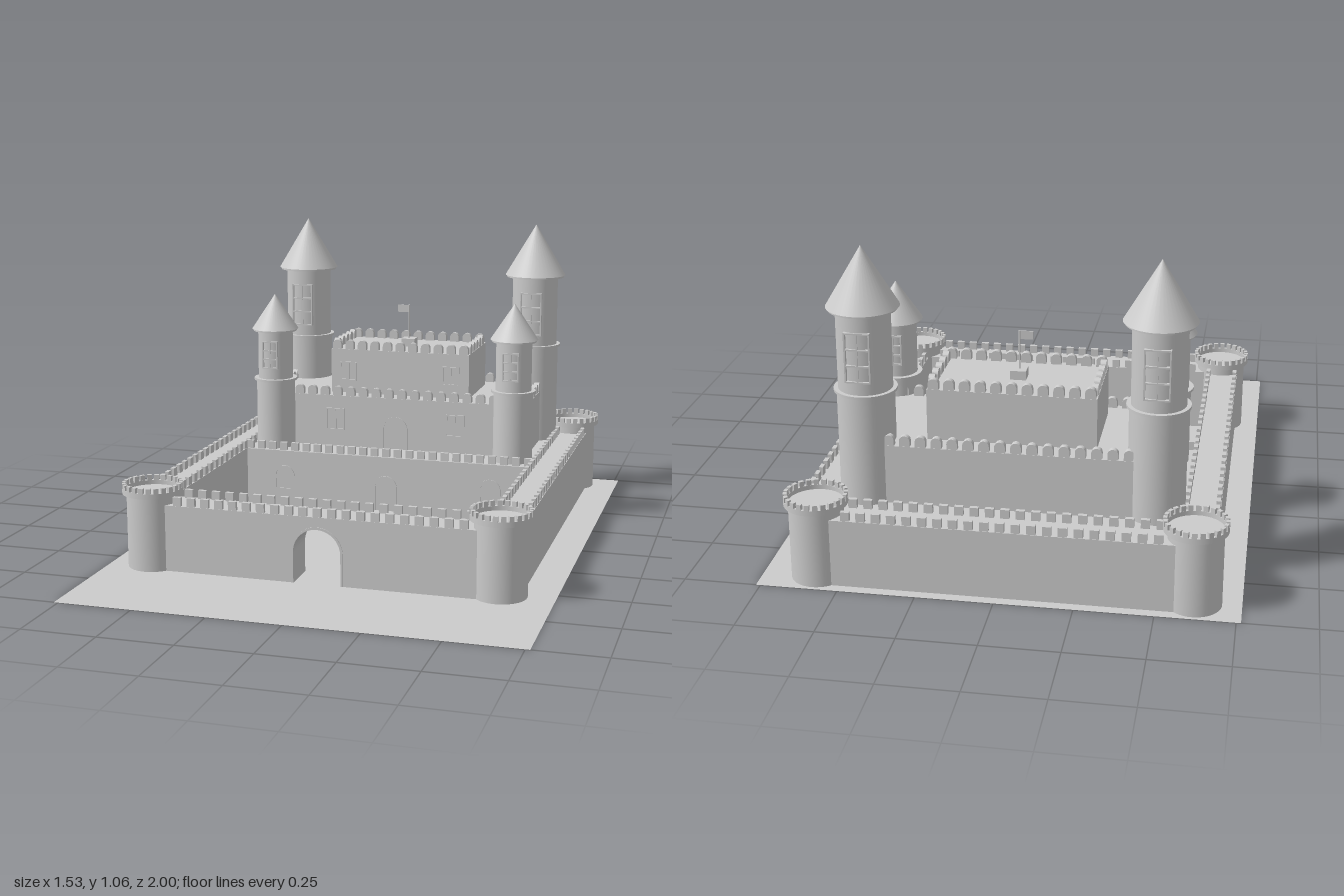
import * as THREE from 'three';
import { mergeGeometries } from 'three/addons/utils/BufferGeometryUtils.js';

const grey = new THREE.MeshStandardMaterial({ color: 0xcccccc, side: THREE.DoubleSide });

function add(parent, name, geometry, x = 0, y = 0, z = 0) {
  const mesh = new THREE.Mesh(geometry, grey);
  mesh.name = name;
  mesh.position.set(x, y, z);
  parent.add(mesh);
  return mesh;
}

// Box given by its limits on each axis
function block(parent, name, x0, x1, y0, y1, z0, z1) {
  return add(parent, name, new THREE.BoxGeometry(x1 - x0, y1 - y0, z1 - z0),
    (x0 + x1) / 2, (y0 + y1) / 2, (z0 + z1) / 2);
}

// Outline with a round top, standing on y = 0
function archPath(path, r, spring) {
  path.moveTo(-r, 0);
  path.lineTo(r, 0);
  path.lineTo(r, spring);
  path.absarc(0, spring, r, 0, Math.PI, false);
  path.lineTo(-r, 0);
  return path;
}

const extrude = (shape, depth, curveSegments = 12) =>
  new THREE.ExtrudeGeometry(shape, { depth, bevelEnabled: false, curveSegments });

// Merlons standing on y = 0, wide along x
const squareMerlon = new THREE.BoxGeometry(0.028, 0.03, 0.014).translate(0, 0.015, 0);
const roundMerlon = extrude(archPath(new THREE.Shape(), 0.017, 0.018), 0.02, 6).translate(0, 0, -0.01);

// Straight row of merlons between two ground points, at height y
function merlonRow(parent, merlon, y, x0, z0, x1, z1, spacing) {
  const length = Math.hypot(x1 - x0, z1 - z0);
  const n = Math.round(length / spacing);
  const parts = [];
  for (let i = 0; i <= n; i++) {
    const t = i / n;
    parts.push(merlon.clone().rotateY(Math.atan2(z0 - z1, x1 - x0))
      .translate(x0 + (x1 - x0) * t, y, z0 + (z1 - z0) * t));
  }
  add(parent, 'merlons', mergeGeometries(parts));
}

// Raised arched surround with a closed panel
function archedPanel(parent, name, x, y, z, r, spring) {
  const frame = archPath(new THREE.Shape(), r, spring);
  frame.holes.push(archPath(new THREE.Path(), r * 0.86, spring));
  add(parent, name, extrude(frame, 0.006), x, y, z);
}

// Window frame with crossing bars, facing +z
function windowFrame(w, h, rows, depth) {
  const t = 0.005;
  const parts = [];
  for (let i = 0; i <= 2; i++)
    parts.push(new THREE.BoxGeometry(t, h + t, depth).translate((i / 2 - 0.5) * w, 0, 0));
  for (let j = 0; j <= rows; j++)
    parts.push(new THREE.BoxGeometry(w, t, depth).translate(0, (j / rows - 0.5) * h, 0));
  return mergeGeometries(parts);
}

// Round tower with two stages, ring, cone roof, windows front and back
function roofedTower(parent, name, x, z, o) {
  const tower = new THREE.Group();
  tower.name = name;
  tower.position.set(x, 0, z);
  parent.add(tower);
  const cyl = (r, y0, y1) => new THREE.CylinderGeometry(r, r, y1 - y0, 40).translate(0, (y0 + y1) / 2, 0);
  add(tower, 'lowerStage', cyl(o.r, 0, o.ring));
  add(tower, 'upperStage', cyl(o.upper, o.ring, o.eave));
  add(tower, 'ring', cyl(o.r + 0.009, o.ring - 0.005, o.ring + 0.004));
  add(tower, 'eave', cyl(o.roof - 0.006, o.eave - 0.008, o.eave));
  add(tower, 'roof', new THREE.ConeGeometry(o.roof, o.top - o.eave, 40), 0, (o.top + o.eave) / 2, 0);
  for (const s of [1, -1])
    add(tower, 'window', windowFrame(o.w, o.h, 3, 0.024), 0, o.windowY, s * (o.upper - 0.008));
}

// Low corner tower with an open battlemented crown
function cornerTower(parent, x, z) {
  const tower = new THREE.Group();
  tower.name = 'cornerTower';
  tower.position.set(x, 0, z);
  parent.add(tower);
  const profile = [[0, 0], [0.088, 0], [0.088, 0.253], [0.102, 0.255], [0.102, 0.273],
    [0.09, 0.273], [0.09, 0.258], [0, 0.258]].map(p => new THREE.Vector2(...p));
  // Separate bands keep the edges sharp
  const bands = [];
  for (let i = 1; i < profile.length; i++)
    bands.push(new THREE.LatheGeometry([profile[i - 1], profile[i]], 40));
  add(tower, 'body', mergeGeometries(bands));
  const parts = [];
  for (let i = 0; i < 24; i++)
    parts.push(new THREE.BoxGeometry(0.016, 0.018, 0.012).translate(0, 0.282, 0.096)
      .rotateY(i / 24 * Math.PI * 2));
  add(tower, 'crownMerlons', mergeGeometries(parts));
}

// Keep storey: block with round merlons along all four edges
function storey(parent, name, hx, y0, y1, z0, z1) {
  block(parent, name, -hx, hx, y0, y1, z0, z1);
  const m = 0.011, e = 0.022;
  for (const z of [z0 + m, z1 - m]) merlonRow(parent, roundMerlon, y1, -hx + e, z, hx - e, z, 0.05);
  for (const s of [-1, 1]) merlonRow(parent, roundMerlon, y1, s * (hx - m), z0 + 0.045, s * (hx - m), z1 - 0.045, 0.05);
}

export function createModel() {
  const model = new THREE.Group();
  model.name = 'castle';
  add(model, 'ground', new THREE.PlaneGeometry(1.53, 2).rotateX(-Math.PI / 2));

  const castle = new THREE.Group();
  castle.name = 'castleBuildings';
  castle.position.x = -0.015;
  model.add(castle);

  const wallTop = 0.228;

  // Front curtain wall with an arched gateway
  const front = new THREE.Shape();
  front.moveTo(-0.6, 0);
  front.lineTo(-0.087, 0);
  front.lineTo(-0.087, 0.106);
  front.absarc(0, 0.106, 0.087, Math.PI, 0, true);
  front.lineTo(0.087, 0);
  front.lineTo(0.6, 0);
  front.lineTo(0.6, wallTop);
  front.lineTo(-0.6, wallTop);
  add(castle, 'frontWall', extrude(front, 0.12, 20), 0, 0, 0.485);
  const trim = archPath(new THREE.Shape(), 0.089, 0.106);
  trim.holes.push(archPath(new THREE.Path(), 0.081, 0.106));
  add(castle, 'gateTrim', extrude(trim, 0.126, 20), 0, 0, 0.482);

  // Side and back curtain walls
  for (const s of [-1, 1])
    block(castle, 'sideWall', Math.min(s * 0.55, s * 0.665), Math.max(s * 0.55, s * 0.665), 0, wallTop, -0.9, 0.545);
  block(castle, 'backWall', -0.6, 0.6, 0, wallTop, -0.966, -0.85);

  // Two rows of merlons on every curtain wall
  for (const z of [0.493, 0.597, -0.957, -0.862])
    merlonRow(castle, squareMerlon, wallTop, -0.49, z, 0.49, z, 0.049);
  for (const x of [-0.657, -0.558, 0.558, 0.657])
    merlonRow(castle, squareMerlon, wallTop, x, -0.79, x, 0.435, 0.051);

  for (const x of [-0.6, 0.6]) for (const z of [-0.9, 0.548]) cornerTower(castle, x, z);

  // Raised terrace at the rear of the courtyard
  block(castle, 'terrace', -0.555, 0.555, 0, wallTop - 0.001, -0.86, -0.237);
  merlonRow(castle, squareMerlon, wallTop, -0.54, -0.248, 0.54, -0.248, 0.045);
  archedPanel(castle, 'terraceDoor', 0, 0.02, -0.239, 0.045, 0.09);
  for (const x of [-0.4, 0.4]) archedPanel(castle, 'terraceWindow', x, 0.08, -0.239, 0.04, 0.05);
  block(castle, 'doorStep', -0.048, 0.048, 0, 0.02, -0.24, -0.195);

  // Stepped keep
  storey(castle, 'lowerKeep', 0.505, 0.22, 0.425, -0.81, -0.37);
  storey(castle, 'upperKeep', 0.272, 0.42, 0.595, -0.738, -0.438);
  archedPanel(castle, 'keepDoor', 0, wallTop, -0.372, 0.05, 0.077);
  for (const s of [-1, 1]) {
    add(castle, 'lowerKeepWindow', windowFrame(0.066, 0.08, 1, 0.01), s * 0.236, 0.333, -0.369);
    add(castle, 'upperKeepWindow', windowFrame(0.062, 0.068, 1, 0.01), s * 0.203, 0.51, -0.437);
  }

  // Flag on its plinth
  block(castle, 'flagBase', -0.026, 0.026, 0.59, 0.625, -0.614, -0.562);
  add(castle, 'flagPole', new THREE.CylinderGeometry(0.003, 0.003, 0.15, 8), -0.002, 0.68, -0.588);
  block(castle, 'flag', -0.046, -0.002, 0.726, 0.754, -0.5895, -0.5865);

  // Roofed towers and courtyard fountains
  for (const s of [-1, 1]) {
    roofedTower(castle, 'tallTower', s * 0.464, -0.75,
      { r: 0.092, upper: 0.087, ring: 0.597, eave: 0.87, roof: 0.116, top: 1.065, w: 0.078, h: 0.16, windowY: 0.725 });
    roofedTower(castle, 'smallTower', s * 0.464, -0.333,
      { r: 0.073, upper: 0.066, ring: 0.49, eave: 0.683, roof: 0.088, top: 0.815, w: 0.056, h: 0.1, windowY: 0.589 });
    add(castle, 'fountainBasin', new THREE.CylinderGeometry(0.058, 0.058, 0.006, 32), s * 0.341, 0.003, 0.135);
    add(castle, 'fountainBase', new THREE.CylinderGeometry(0.016, 0.02, 0.012, 16), s * 0.341, 0.012, 0.135);
    add(castle, 'fountainSpout', new THREE.CylinderGeometry(0.004, 0.008, 0.035, 12), s * 0.341, 0.034, 0.135);
  }
  return model;
}
